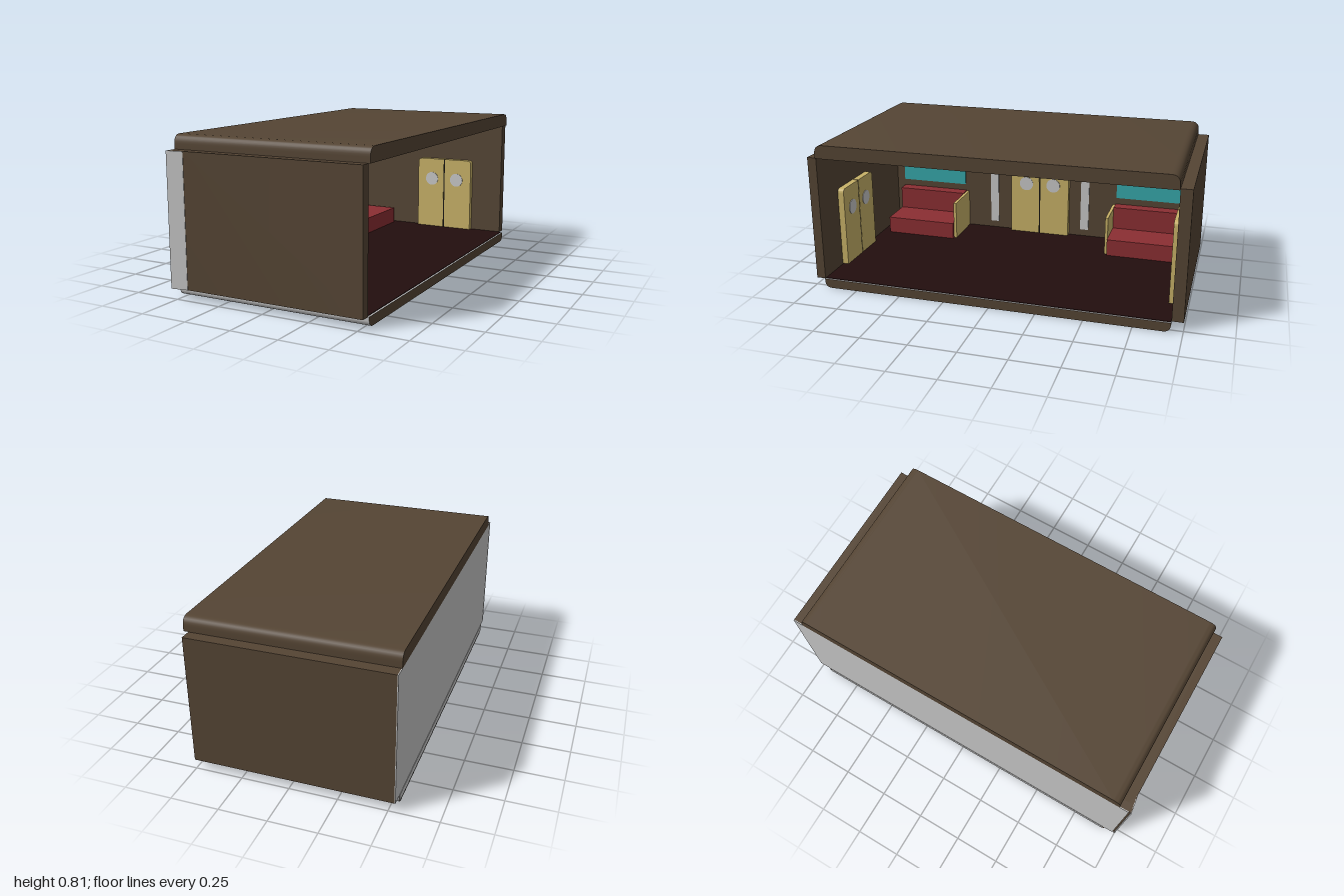
import * as THREE from 'three';
import { toCreasedNormals } from 'three/addons/utils/BufferGeometryUtils.js';

export function createModel() {
  const model = new THREE.Group();
  model.name = 'openCabin';

  const mat = (name, color) => {
    const m = new THREE.MeshStandardMaterial({ color });
    m.name = name;
    return m;
  };
  const brown = mat('brown', 0x554534);
  const grey = mat('lightGrey', 0xc8c8c8);
  const gold = mat('gold', 0xc8b268);
  const red = mat('seatRed', 0x8b2e32);
  const teal = mat('windowTeal', 0x36a9ab);
  const maroon = mat('floorMaroon', 0x220e0e);
  const black = mat('gapBlack', 0x151210);

  const add = (parent, name, geometry, material) => {
    const mesh = new THREE.Mesh(geometry, material);
    mesh.name = name;
    parent.add(mesh);
    return mesh;
  };
  // Box given by its limits on each axis
  const box = (parent, name, material, [x0, x1], [y0, y1], [z0, z1]) => {
    const mesh = add(parent, name, new THREE.BoxGeometry(x1 - x0, y1 - y0, z1 - z0), material);
    mesh.position.set((x0 + x1) / 2, (y0 + y1) / 2, (z0 + z1) / 2);
    return mesh;
  };
  const extrude = (shape, depth) => toCreasedNormals(
    new THREE.ExtrudeGeometry(shape, { depth, bevelEnabled: false, curveSegments: 8 }), 0.6);

  // Slab with two rounded long edges, running along x; sign +1 rounds the top, -1 the bottom
  const slab = (name, flatY, farY, radius, x0, x1, materials) => {
    const s = Math.sign(farY - flatY);
    const a = -0.935, b = 0.94;
    const shape = new THREE.Shape();
    shape.moveTo(a, flatY);
    shape.lineTo(b, flatY);
    shape.lineTo(b, farY - s * radius);
    shape.quadraticCurveTo(b, farY, b - radius, farY);
    shape.lineTo(a + radius, farY);
    shape.quadraticCurveTo(a, farY, a, farY - s * radius);
    shape.closePath();
    const mesh = add(model, name, extrude(shape, x1 - x0), materials);
    mesh.rotation.y = Math.PI / 2;
    mesh.position.x = x0;
  };
  slab('floorSlab', 0.05, 0, 0.04, -0.535, 0.525, [brown, grey]);
  slab('roof', 0.735, 0.808, 0.045, -0.535, 0.53, [brown, brown]);
  box(model, 'floorCovering', maroon, [-0.49, 0.515], [0.049, 0.053], [-0.938, 0.933]);
  box(model, 'ceilingPanel', grey, [-0.49, 0.505], [0.731, 0.736], [-0.938, 0.933]);

  // Walls
  const wallY = [0.05, 0.735];
  box(model, 'rearWall', brown, [-0.53, -0.49], wallY, [-0.99, 0.98]);
  box(model, 'rearWallCladding', grey, [-0.535, -0.53], [0.05, 0.735], [-1, 0.985]);
  box(model, 'rearFloorCladding', grey, [-0.537, -0.533], [0.01, 0.05], [-0.93, 0.925]);
  box(model, 'endWallBack', brown, [-0.53, 0.505], wallY, [-1, -0.94]);

  // Vertical prism from plan points (x, z)
  const prism = (name, points, material) => {
    const shape = new THREE.Shape(points.map(([x, z]) => new THREE.Vector2(x, -z)));
    const mesh = add(model, name, extrude(shape, wallY[1] - wallY[0]), material);
    mesh.rotation.x = -Math.PI / 2;
    mesh.position.y = wallY[0];
  };
  prism('endWallFront',
    [[-0.53, 0.935], [0.52, 0.935], [0.52, 0.985], [-0.445, 0.985], [-0.53, 0.996]], brown);
  prism('cornerStrip',
    [[-0.535, 0.994], [-0.445, 0.983], [-0.445, 0.987], [-0.535, 1]], grey);

  // Double door with round windows, facing local +z
  const leafShape = new THREE.Shape();
  leafShape.moveTo(0.004, 0.055);
  leafShape.lineTo(0.18, 0.055);
  leafShape.lineTo(0.18, 0.475);
  leafShape.quadraticCurveTo(0.18, 0.5, 0.155, 0.5);
  leafShape.lineTo(0.004, 0.5);
  leafShape.closePath();
  const mirrored = new THREE.Shape(
    leafShape.getPoints(8).map((p) => new THREE.Vector2(-p.x, p.y)));
  const doubleDoor = (name, x, z, angle) => {
    const door = new THREE.Group();
    door.name = name;
    [[leafShape, 1], [mirrored, -1]].forEach(([shape, side]) => {
      add(door, 'doorLeaf', extrude(shape, 0.035), gold);
      const pane = add(door, 'doorWindow', new THREE.CylinderGeometry(0.042, 0.042, 0.006, 32), grey);
      pane.rotation.x = Math.PI / 2;
      pane.position.set(side * 0.084, 0.37, 0.035);
    });
    box(door, 'doorGap', black, [-0.004, 0.004], [0.055, 0.498], [0, 0.033]);
    door.position.set(x, 0, z);
    door.rotation.y = angle;
    model.add(door);
  };
  doubleDoor('rearDoor', -0.49, -0.02, Math.PI / 2);
  doubleDoor('endDoorFront', 0.135, 0.935, Math.PI);
  doubleDoor('endDoorBack', 0.135, -0.94, 0);

  // Benches, windows and light strips on both sides of the rear door
  for (const side of [1, -1]) {
    const span = (a, b) => {
      const p = side * a - 0.01, q = side * b - 0.01;
      return [Math.min(p, q), Math.max(p, q)];
    };
    const bench = new THREE.Group();
    bench.name = side > 0 ? 'benchFront' : 'benchBack';
    model.add(bench);
    box(bench, 'seat', red, [-0.49, -0.22], [0.05, 0.15], span(0.475, 0.893));
    box(bench, 'backrest', red, [-0.49, -0.42], [0.15, 0.28], span(0.475, 0.893));
    box(bench, 'armrest', gold, [-0.49, -0.24], [0.05, 0.275], span(0.458, 0.475));
    box(model, 'window', teal, [-0.491, -0.483], [0.32, 0.59], span(0.48, 0.893));
    box(model, 'lightStrip', grey, [-0.491, -0.483], [0.095, 0.417], span(0.262, 0.312));
  }
  return model;
}
